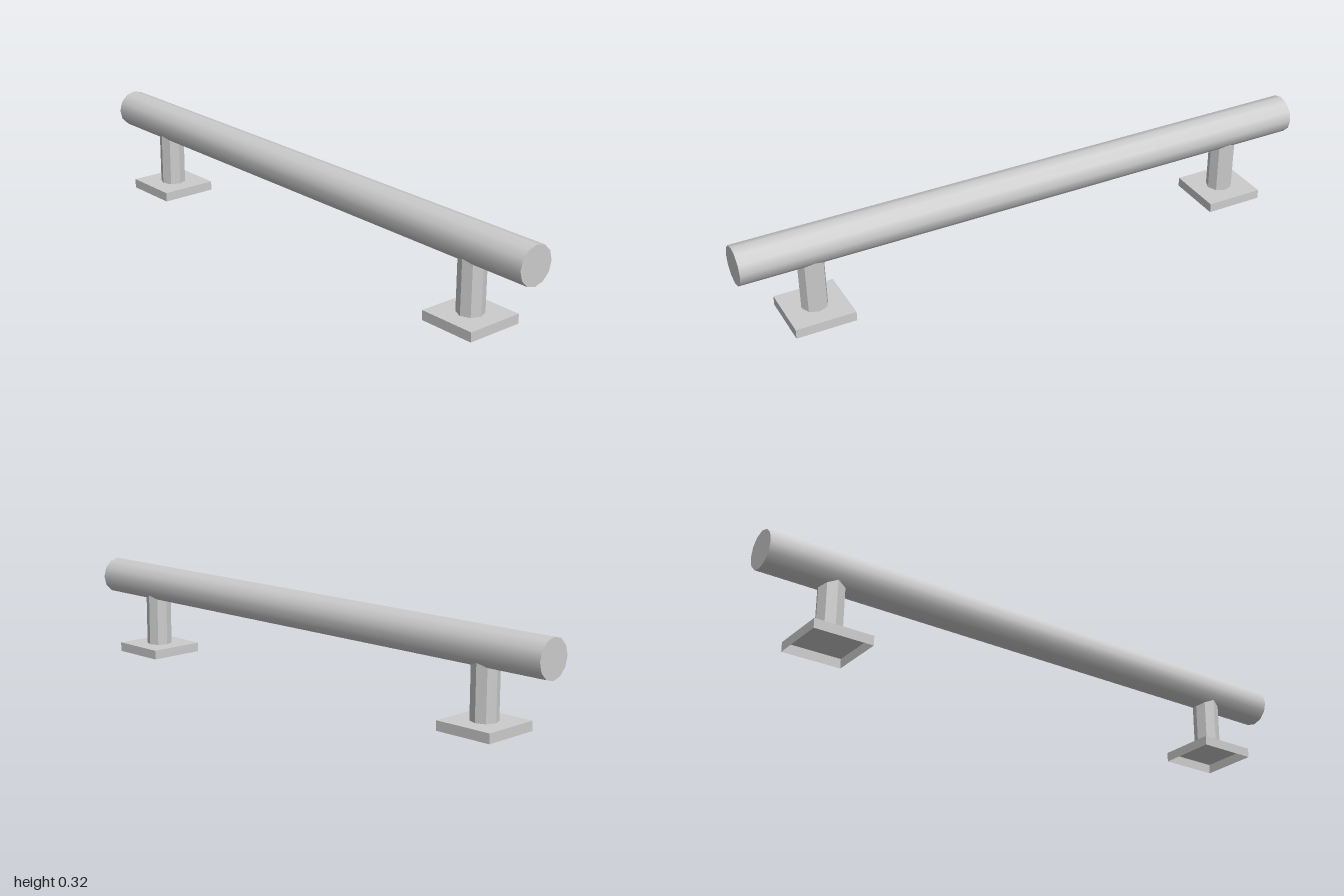
import * as THREE from 'three';

// Smooth 12-sided bar on two flat-shaded octagonal posts with hollow square feet
export function createModel() {
  const model = new THREE.Group();
  model.name = 'railBar';

  const metal = new THREE.MeshStandardMaterial({ color: 0xcccccc, side: THREE.DoubleSide });
  metal.name = 'lightGreyMetal';

  const addMesh = (parent, name, geometry, x, y) => {
    const mesh = new THREE.Mesh(geometry, metal);
    mesh.name = name;
    mesh.position.set(x, y, 0);
    parent.add(mesh);
  };

  // Horizontal bar: a corner of the 12-gon points straight up
  const barGeometry = new THREE.CylinderGeometry(0.064, 0.064, 2, 12);
  barGeometry.rotateY(Math.PI / 2).rotateZ(Math.PI / 2);
  addMesh(model, 'bar', barGeometry, 0, 0.256);

  // Octagonal post, ending inside the bar
  const postGeometry = new THREE.CylinderGeometry(0.044, 0.044, 0.19, 8, 1, true).toNonIndexed();
  postGeometry.computeVertexNormals();

  // Square foot, open underneath: leave out the bottom face of the box
  const footGeometry = new THREE.BoxGeometry(0.2, 0.032, 0.2);
  const index = Array.from(footGeometry.index.array);
  index.splice(18, 6);
  footGeometry.setIndex(index);
  footGeometry.clearGroups();

  for (const [side, x] of [['left', 0.76], ['right', -0.76]]) {
    const support = new THREE.Group();
    support.name = side + 'Support';
    addMesh(support, side + 'Post', postGeometry, x, 0.127);
    addMesh(support, side + 'Foot', footGeometry, x, 0.016);
    model.add(support);
  }

  return model;
}
